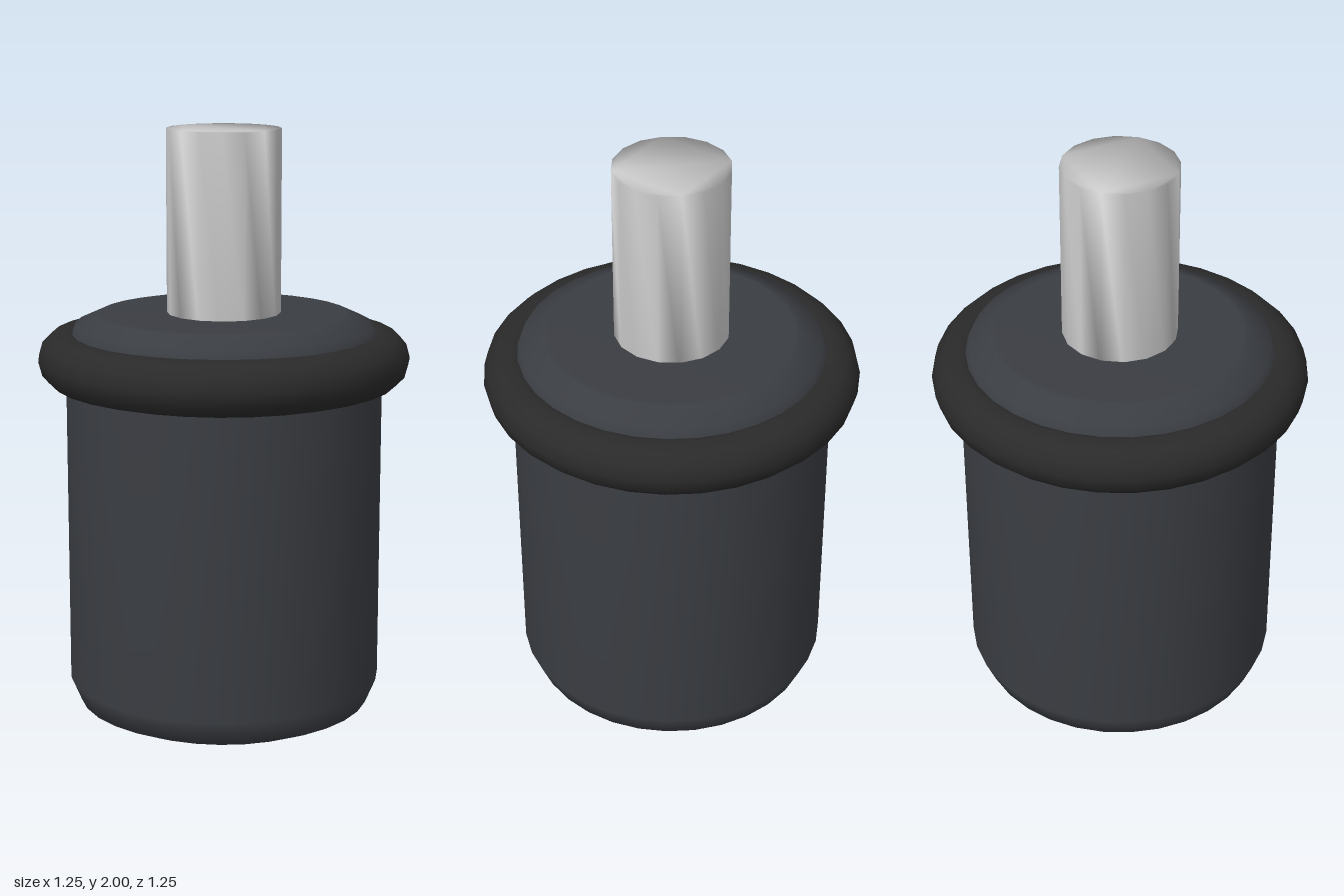
import * as THREE from 'three';
import { mergeVertices } from 'three/addons/utils/BufferGeometryUtils.js';

const SIDES = 32;

function part(name, geometry, color) {
  const mesh = new THREE.Mesh(geometry, new THREE.MeshStandardMaterial({ color }));
  mesh.name = name;
  return mesh;
}

export function createModel() {
  const model = new THREE.Group();
  model.name = 'plungerPin';

  // Body: cylinder with two-step rounded rims; the extra inner points keep the end faces flat
  const height = 1.385;
  const rim = [[0, 0], [0.41, 0], [0.425, 0.003], [0.5, 0.037], [0.535, 0.12]];
  const profile = [
    ...rim.map(([r, y]) => new THREE.Vector2(r, y)),
    ...rim.slice().reverse().map(([r, y]) => new THREE.Vector2(r, height - y)),
  ];
  model.add(part('body', new THREE.LatheGeometry(profile, SIDES), 0x3a3d42));

  // Collar ring around the upper rim
  const ring = new THREE.TorusGeometry(0.535, 0.0925, 12, SIDES);
  ring.rotateX(Math.PI / 2).translate(0, 1.232, 0);
  model.add(part('collarRing', ring, 0x2a2a2a));

  // Shaft: 16-sided bar whose normals run smoothly over the end faces
  const corners = Array.from({ length: 16 }, (_, i) => {
    const a = (i / 16) * Math.PI * 2;
    return new THREE.Vector2(Math.cos(a) * 0.192, Math.sin(a) * 0.192);
  });
  const base = 1.3;
  let shaft = new THREE.ExtrudeGeometry(new THREE.Shape(corners), { depth: 2 - base, bevelEnabled: false });
  shaft.rotateX(-Math.PI / 2).translate(0, base, 0);
  shaft.deleteAttribute('normal');
  shaft.deleteAttribute('uv');
  shaft = mergeVertices(shaft);
  shaft.computeVertexNormals();
  model.add(part('shaft', shaft, 0xcccccc));

  return model;
}
